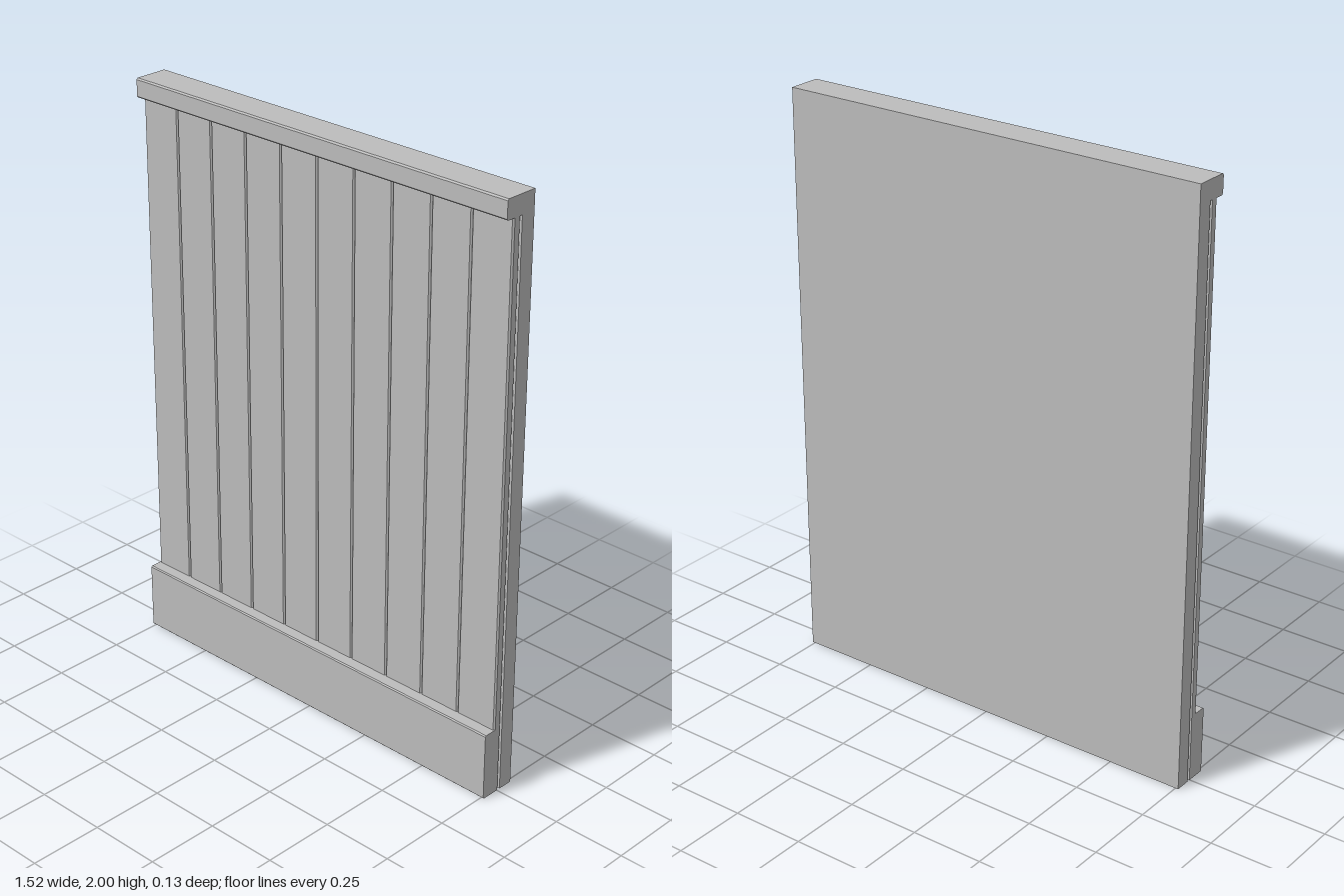
import * as THREE from 'three';

const WIDTH = 1.52;

// Box with chamfered front edges, extruded along its length from a cross-section
function chamferedBar(across, z0, z1, length, c) {
  const h = across / 2;
  const s = new THREE.Shape([
    [-h, z0], [h, z0], [h, z1 - c], [h - c, z1], [-h + c, z1], [-h, z1 - c],
  ].map(([a, z]) => new THREE.Vector2(a, z)));
  const g = new THREE.ExtrudeGeometry(s, { depth: length, bevelEnabled: false });
  g.translate(0, 0, -length / 2);
  g.rotateX(-Math.PI / 2); // length along y
  g.scale(1, 1, 1);
  // the rotation sends section depth to -z, so turn the front back to +z
  g.rotateY(Math.PI);
  return g;
}

export function createModel() {
  const model = new THREE.Group();
  const paint = new THREE.MeshStandardMaterial({ color: 0xbcbcbc });
  paint.name = 'greyPaint';

  const add = (name, geometry, x, y, z = 0) => {
    const mesh = new THREE.Mesh(geometry, paint);
    mesh.name = name;
    mesh.position.set(x, y, z);
    model.add(mesh);
  };

  // Backing wall panel
  add('wallPanel', new THREE.BoxGeometry(WIDTH, 2, 0.053), 0, 1, -0.0395);

  // Row of vertical boards with V-grooves between them
  const count = 10;
  const pitch = WIDTH / count;
  for (let i = 0; i < count; i++) {
    add('board' + (i + 1), chamferedBar(pitch, -0.002, 0.024, 1.94, 0.005),
      (i - (count - 1) / 2) * pitch, 0.97);
  }

  // Top rail and skirting board run along x
  const rail = chamferedBar(0.065, -0.013, 0.053, WIDTH, 0.005).rotateZ(Math.PI / 2);
  add('topRail', rail, 0, 1.9675);
  const skirting = chamferedBar(0.235, 0, 0.066, WIDTH, 0.004).rotateZ(Math.PI / 2);
  add('skirtingBoard', skirting, 0, 0.1175);

  return model;
}
